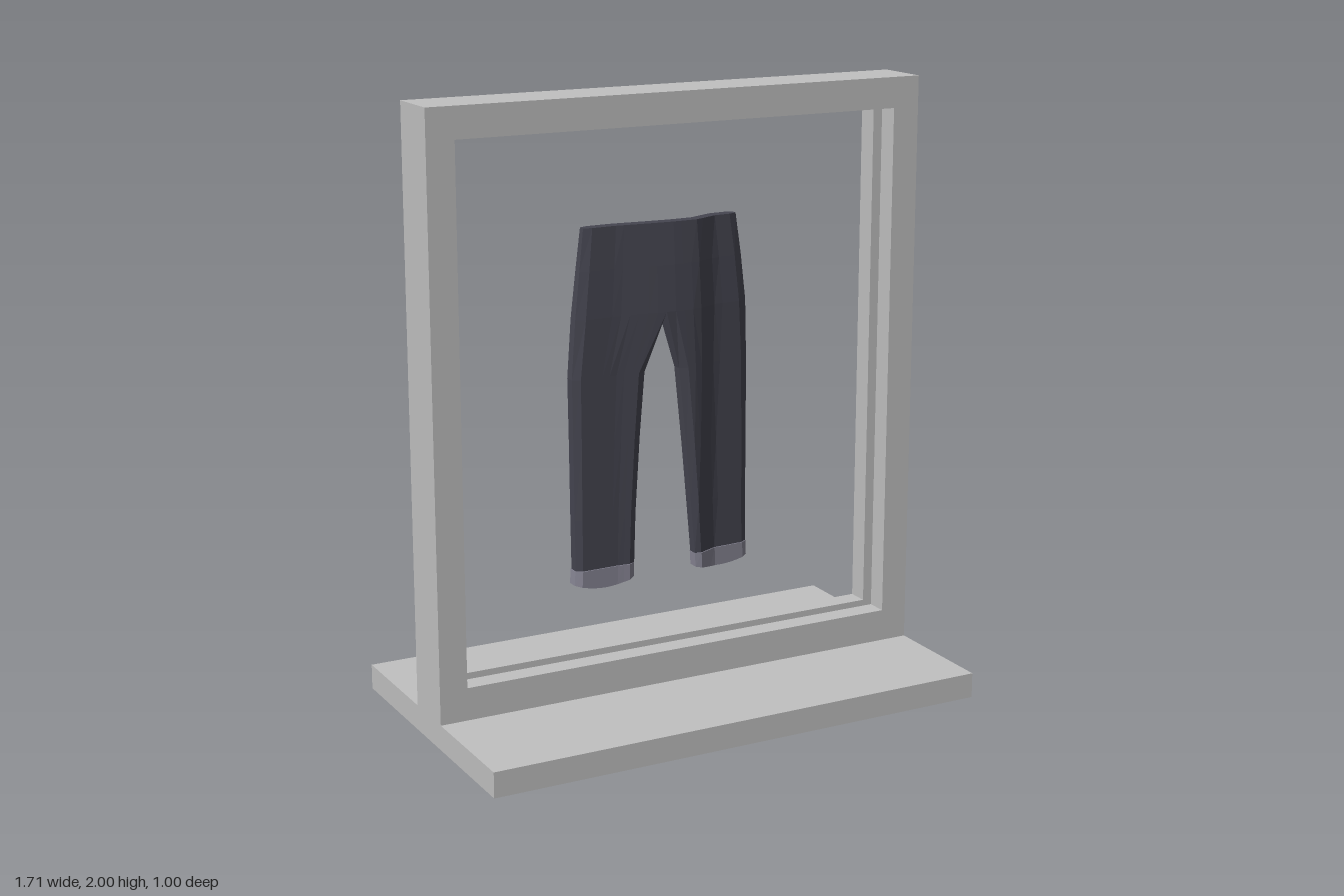
import * as THREE from 'three';

const frameGrey = new THREE.MeshStandardMaterial({ color: 0xc0c0c0 });
frameGrey.name = 'frame grey';
const denim = new THREE.MeshStandardMaterial({ color: 0x454550 });
denim.name = 'dark denim';
const cuffGrey = new THREE.MeshStandardMaterial({ color: 0x878594 });
cuffGrey.name = 'cuff grey';

// Straight-line lookup in a list of [position, value] pairs
function lookup(pairs, p) {
  for (let i = 1; i < pairs.length; i++) {
    const [a, va] = pairs[i - 1], [b, vb] = pairs[i];
    if (p <= b) return va + (vb - va) * Math.max(0, (p - a) / (b - a));
  }
  return pairs[pairs.length - 1][1];
}

// Rectangular ring with the opening enlarged by "recess"
function frameLayer(name, z, depth, recess) {
  const rect = (Path, x, y0, y1) => new Path([[-x, y0], [x, y0], [x, y1], [-x, y1]]
    .map(([a, b]) => new THREE.Vector2(a, b)));
  const shape = rect(THREE.Shape, 0.857, 0.083, 2);
  shape.holes.push(rect(THREE.Path, 0.765 + recess, 0.19 - recess, 1.9 + recess));
  const geometry = new THREE.ExtrudeGeometry(shape, { depth, bevelEnabled: false });
  geometry.translate(0, 0, z);
  const mesh = new THREE.Mesh(geometry, frameGrey);
  mesh.name = name;
  return mesh;
}

// Gentle folds across the cloth
const FOLDS = [[-0.36, 0], [-0.2, -0.004], [-0.08, 0.008], [0.0, 0.014],
  [0.08, 0.012], [0.16, -0.024], [0.29, -0.032]];
const COLUMNS = 10;

// Slab lofted through rows of [y, xLeft, xRight, halfThickness, sag]
function clothLoft(rows, roundLow, roundHigh) {
  const at = (row, k, side) => {
    const [y, x0, x1, half, sag = 0] = row;
    const u = k / COLUMNS;
    const x = x0 + (x1 - x0) * u;
    let h = half;
    if ((k === 0 && roundLow(y)) || (k === COLUMNS && roundHigh(y))) h *= 0.55;
    return [x, y - sag * Math.sin(Math.PI * u), lookup(FOLDS, x) + side * h];
  };
  const pos = [];
  const quad = (a, b, c, d) => pos.push(...a, ...b, ...c, ...a, ...c, ...d);
  for (let i = 0; i < rows.length - 1; i++) {
    const top = rows[i], low = rows[i + 1];
    for (let k = 0; k < COLUMNS; k++) {
      quad(at(low, k, 1), at(low, k + 1, 1), at(top, k + 1, 1), at(top, k, 1));
      quad(at(low, k + 1, -1), at(low, k, -1), at(top, k, -1), at(top, k + 1, -1));
    }
    quad(at(low, 0, -1), at(low, 0, 1), at(top, 0, 1), at(top, 0, -1));
    quad(at(low, COLUMNS, 1), at(low, COLUMNS, -1), at(top, COLUMNS, -1), at(top, COLUMNS, 1));
  }
  // Top and bottom edges
  const first = rows[0], last = rows[rows.length - 1];
  for (let k = 0; k < COLUMNS; k++) {
    quad(at(first, k, 1), at(first, k + 1, 1), at(first, k + 1, -1), at(first, k, -1));
    quad(at(last, k, -1), at(last, k + 1, -1), at(last, k + 1, 1), at(last, k, 1));
  }
  const geometry = new THREE.BufferGeometry();
  geometry.setAttribute('position', new THREE.Float32BufferAttribute(pos, 3));
  geometry.computeVertexNormals();
  return geometry;
}

// One trouser half with its turned-up cuff
function trouserHalf(side, rows, cuffRows) {
  const group = new THREE.Group();
  group.name = side + 'TrouserHalf';
  const split = (y) => y < 1.29;
  const always = () => true;
  const low = side === 'left' ? split : always;
  const high = side === 'left' ? always : split;
  const leg = new THREE.Mesh(clothLoft(rows, low, high), denim);
  leg.name = side + 'Leg';
  const cuff = new THREE.Mesh(clothLoft(cuffRows, low, high), cuffGrey);
  cuff.name = side + 'Cuff';
  group.add(leg, cuff);
  return group;
}

export function createModel() {
  const model = new THREE.Group();
  model.name = 'displayFrameWithTrousers';

  // Foot plate
  const base = new THREE.Mesh(new THREE.BoxGeometry(1.714, 0.083, 1), frameGrey);
  base.name = 'basePlate';
  base.position.y = 0.0415;
  model.add(base);

  // Upright frame with a groove running round the inside
  const frame = new THREE.Group();
  frame.name = 'uprightFrame';
  frame.add(
    frameLayer('frontFrame', 0.025, 0.07, 0),
    frameLayer('groove', -0.025, 0.05, 0.035),
    frameLayer('backFrame', -0.095, 0.07, 0));
  model.add(frame);

  // Hanging trousers
  const trousers = new THREE.Group();
  trousers.name = 'trousers';
  trousers.add(
    trouserHalf('right', [
      [1.585, -0.31, -0.035, 0.02], [1.45, -0.326, -0.035, 0.026],
      [1.3, -0.343, -0.035, 0.03], [1.11, -0.357, -0.105, 0.03],
      [0.9, -0.354, -0.122, 0.03], [0.65, -0.352, -0.137, 0.029],
      [0.48, -0.35, -0.142, 0.028],
    ], [[0.482, -0.352, -0.143, 0.032], [0.435, -0.355, -0.144, 0.032, 0.018]]),
    trouserHalf('left', [
      [1.585, -0.035, 0.245, 0.02], [1.45, -0.035, 0.264, 0.026],
      [1.3, -0.035, 0.281, 0.03], [1.11, 0.015, 0.286, 0.03],
      [0.85, 0.042, 0.287, 0.03], [0.65, 0.06, 0.287, 0.029],
      [0.48, 0.075, 0.288, 0.028],
    ], [[0.482, 0.074, 0.289, 0.032], [0.435, 0.077, 0.291, 0.032, 0.015]]));
  model.add(trousers);
  return model;
}
